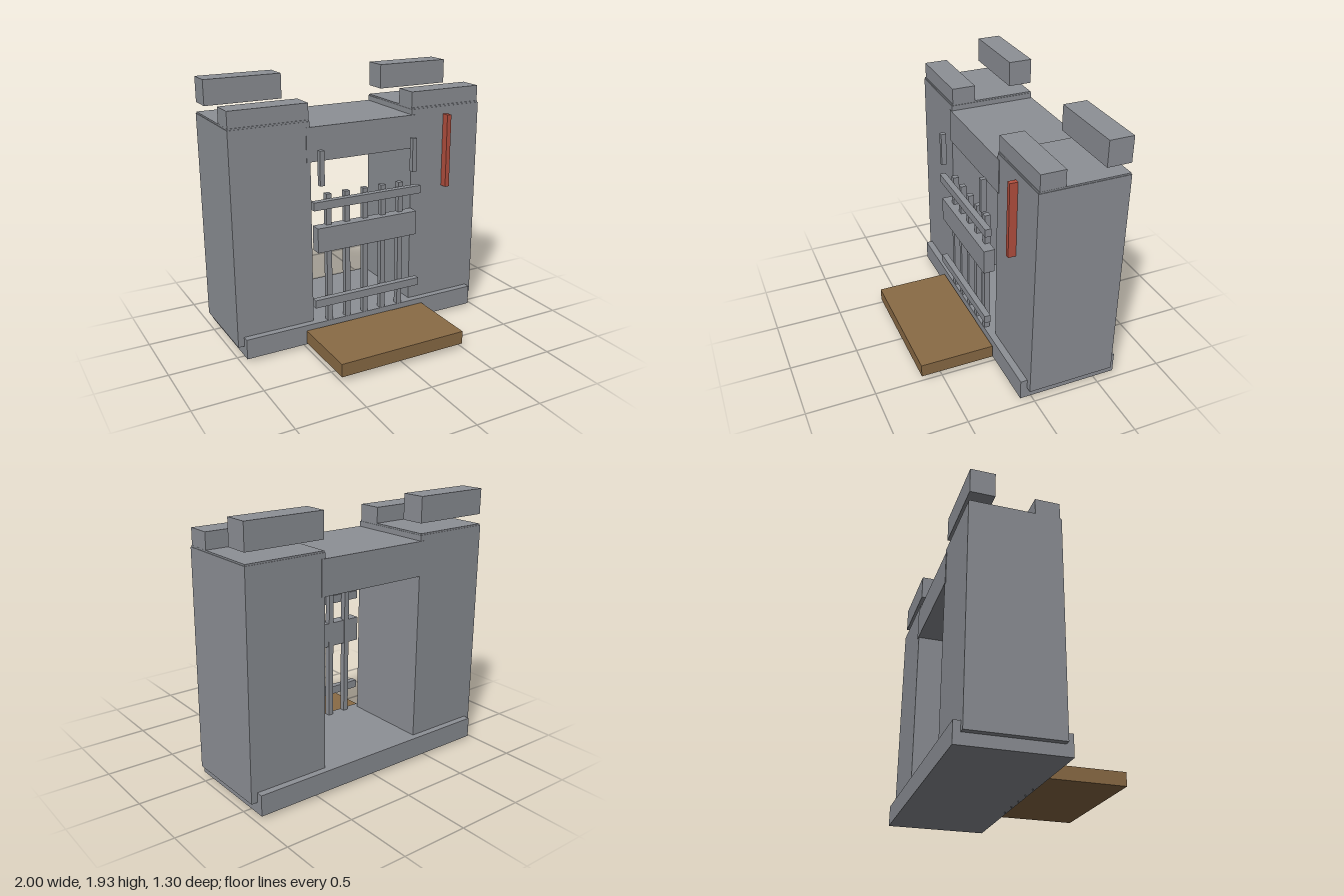
import * as THREE from 'three';

export function createModel() {
  const model = new THREE.Group();
  model.name = 'gatehouse';

  const mat = (name, color) => {
    const m = new THREE.MeshStandardMaterial({ color });
    m.name = name;
    return m;
  };
  const stone = mat('stone grey', 0x8d9096);
  const wood = mat('wood brown', 0x8a6b45);
  const red = mat('banner red', 0xb5503f);

  // Box given by its extents on each axis
  const box = (name, material, [x0, x1], [y0, y1], [z0, z1]) => {
    const mesh = new THREE.Mesh(new THREE.BoxGeometry(x1 - x0, y1 - y0, z1 - z0), material);
    mesh.position.set((x0 + x1) / 2, (y0 + y1) / 2, (z0 + z1) / 2);
    mesh.name = name;
    model.add(mesh);
    return mesh;
  };
  // Extents mirrored to the side given by s
  const side = (s, a, b) => (s > 0 ? [a, b] : [-b, -a]);

  // Base slab and lintel over the passage
  box('base', stone, [-0.955, 0.955], [0.02, 0.17], [-0.65, 0.09]);
  box('lintel', stone, [-0.44, 0.44], [1.38, 1.627], [-0.607, 0.045]);

  // Twin towers with caps, merlons and lifting rods
  for (const s of [1, -1]) {
    box('tower', stone, side(s, 0.41, 1), [0.1, 1.666], [-0.602, 0.04]);
    box('towerCap', stone, side(s, 0.414, 0.996), [1.666, 1.677], [-0.598, 0.036]);
    box('frontMerlon', stone, side(s, 0.414, 0.995), [1.677, 1.793], [-0.145, 0.03]);
    box('backMerlon', stone, side(s, 0.414, 0.995), [1.747, 1.93], [-0.595, -0.42]);
    box('liftingRod', stone, side(s, 0.355, 0.39), [1.23, 1.48], [0.11, 0.148]);
  }

  // Portcullis: uprights with pointed feet
  for (let i = -2; i <= 2; i++) {
    const x = i * 0.148;
    box('portcullisBar', stone, [x - 0.02, x + 0.02], [0.1, 1.147], [0.045, 0.088]);
    const spike = new THREE.Mesh(new THREE.ConeGeometry(0.028, 0.11, 4).toNonIndexed(), stone);
    spike.geometry.computeVertexNormals();
    spike.rotation.x = Math.PI;
    spike.position.set(x, 0.055, 0.067);
    spike.name = 'portcullisSpike';
    model.add(spike);
  }

  // Portcullis cross rails and wide middle plate
  for (const y of [0.315, 1.055]) {
    box('portcullisRail', stone, [-0.436, 0.436], [y, y + 0.06], [0.092, 0.138]);
  }
  box('middlePlate', stone, [-0.406, 0.406], [0.735, 0.918], [0.05, 0.133]);

  // Lowered bridge and banner
  box('drawbridge', wood, [-0.495, 0.495], [0.035, 0.133], [0.1, 0.652]);
  box('banner', red, [0.685, 0.72], [1.055, 1.608], [0.035, 0.097]);

  return model;
}
